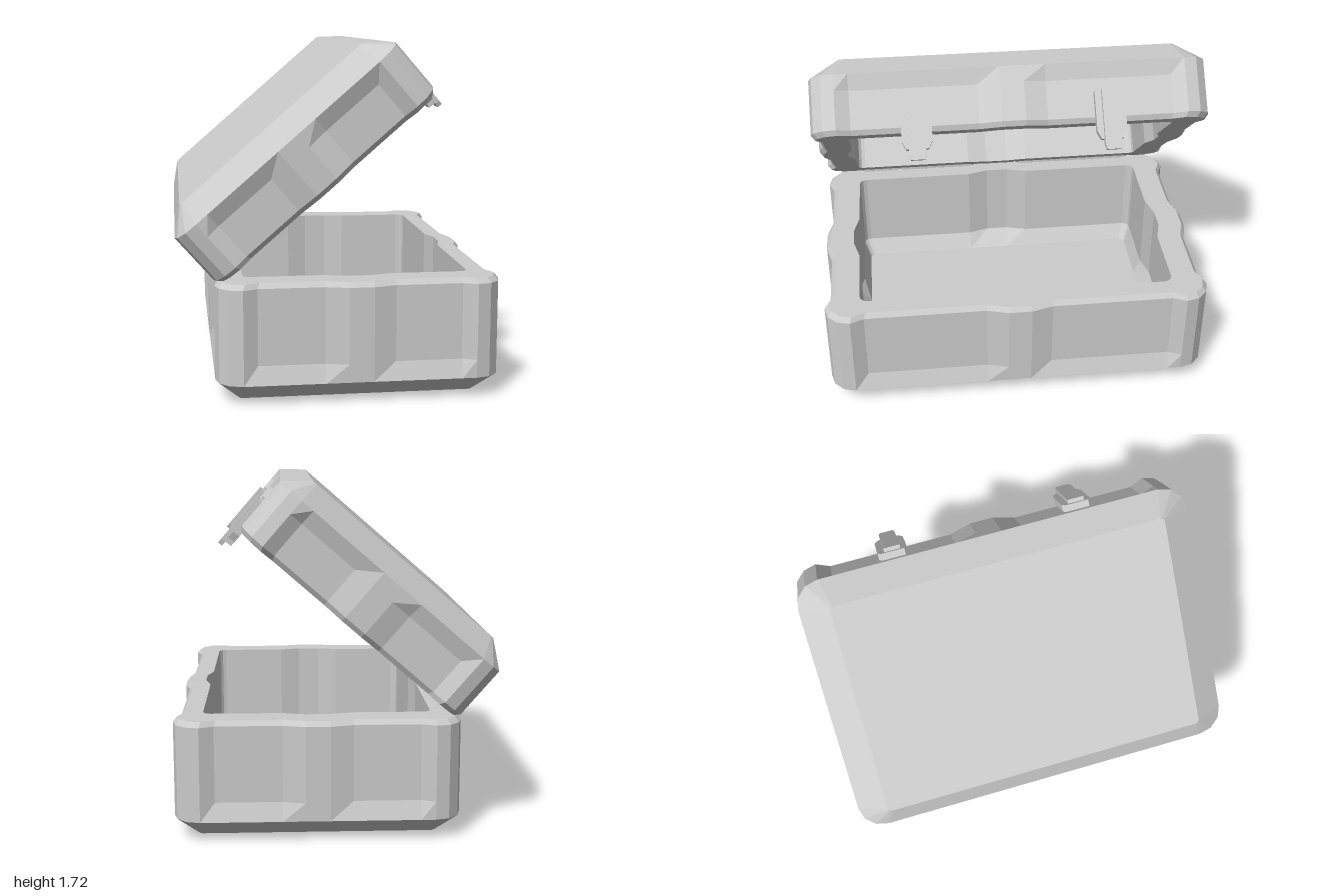
import * as THREE from 'three';

const material = new THREE.MeshStandardMaterial({ color: 0xcccccc, flatShading: true });

function addMesh(parent, name, geometry, x = 0, y = 0, z = 0) {
  const mesh = new THREE.Mesh(geometry, material);
  mesh.name = name;
  mesh.position.set(x, y, z);
  parent.add(mesh);
  return mesh;
}

// Rectangular cross-section: bevelled corners, sunken panels and a rib mid-side
function ring({ y, hx, hz, corner, sink = 0, rib = 0 }) {
  const points = [];
  for (let k = 0; k < 4; k++) {
    const a = (k * Math.PI) / 2;
    const [D, L] = k % 2 ? [hz, hx] : [hx, hz];
    const put = (out, along) => points.push(new THREE.Vector3(
      Math.cos(a) * out - Math.sin(a) * along, y, -Math.sin(a) * out - Math.cos(a) * along));
    const e = L - corner;
    const along = [-e, -e + 0.07, -0.17, -0.06, 0.06, 0.17, e - 0.07, e];
    const offset = [0, -sink, -sink, rib, rib, -sink, -sink, 0];
    along.forEach((s, i) => put(D + offset[i], s));
    for (const t of [Math.PI / 6, Math.PI / 3]) {
      put(D - corner + corner * Math.cos(t), e + corner * Math.sin(t));
    }
  }
  return points;
}

// Skin the sections from outer base, over the rim, down to the inner floor
function shell(sections) {
  const rings = sections.map(ring);
  const n = rings[0].length;
  const pos = [];
  const tri = (...p) => p.forEach((v) => pos.push(v.x, v.y, v.z));
  const first = rings[0], last = rings[rings.length - 1];
  const bottom = new THREE.Vector3(0, first[0].y, 0);
  const floor = new THREE.Vector3(0, last[0].y, 0);
  for (let i = 0; i < n; i++) {
    const j = (i + 1) % n;
    for (let k = 0; k < rings.length - 1; k++) {
      const p = rings[k], q = rings[k + 1];
      tri(p[i], p[j], q[j]);
      tri(p[i], q[j], q[i]);
    }
    tri(bottom, first[j], first[i]);
    tri(floor, last[i], last[j]);
  }
  const geometry = new THREE.BufferGeometry();
  geometry.setAttribute('position', new THREE.Float32BufferAttribute(pos, 3));
  geometry.computeVertexNormals();
  return geometry;
}

// Section list shared by the tub and the lid; y0 is the closed end, y1 the rim
function boxSections(y0, y1, chamfer, chamferInset, panelEdge, wall) {
  const outer = { hx: 0.695, hz: 1, corner: 0.13 };
  const inner = { hx: 0.555, hz: 0.82, corner: 0.04, rib: 0.03 };
  return [
    { y: y0, hx: 0.695 - chamferInset, hz: 0.85, corner: 0.02 },
    { ...outer, y: y0 + chamfer },
    { ...outer, y: panelEdge, sink: 0.03 },
    { ...outer, y: y1 - 0.025, sink: 0.03 },
    { y: y1, hx: 0.675, hz: 0.98, corner: 0.12, sink: 0.03 },
    { ...inner, y: y1 },
    { ...inner, y: y0 + wall + 0.08 },
    { y: y0 + wall, hx: 0.5, hz: 0.785, corner: 0.03 },
  ];
}

function extruded(points, depth) {
  const shape = new THREE.Shape(points.map(([x, y]) => new THREE.Vector2(x, y)));
  return new THREE.ExtrudeGeometry(shape, { depth, bevelEnabled: false }).rotateY(Math.PI / 2);
}

export function createModel() {
  const model = new THREE.Group();
  model.name = 'openCase';

  // Tub
  addMesh(model, 'tub', shell(boxSections(0, 0.595, 0.105, 0.115, 0.195, 0.08)), 0.085, 0, 0);

  // Lid, swung open about its back edge
  const lid = new THREE.Group();
  lid.name = 'lid';
  lid.position.set(-0.595, 0.578, 0);
  lid.rotation.z = THREE.MathUtils.degToRad(41);
  model.add(lid);
  const cover = addMesh(lid, 'lidShell', shell(boxSections(-0.4, 0, 0.1, 0.12, -0.22, 0.08)), 0.695, 0, 0);
  cover.rotation.x = Math.PI;

  // Latches on the lid front
  const plate = [[-0.055, -0.09], [0.055, -0.09], [0.075, -0.05], [0.075, 0.15],
    [0.06, 0.17], [-0.06, 0.17], [-0.075, 0.15], [-0.075, -0.05]];
  const strip = [[-0.035, -0.145], [0.035, -0.145], [0.042, -0.12], [0.042, 0.155],
    [-0.042, 0.155], [-0.042, -0.12]];
  for (const z of [-0.48, 0.48]) {
    const latch = new THREE.Group();
    latch.name = 'latch';
    latch.position.set(1.355, 0, z);
    lid.add(latch);
    addMesh(latch, 'latchPlate', extruded(plate, 0.04));
    addMesh(latch, 'latchStrip', extruded(strip, 0.025), 0.035, 0, 0);
    addMesh(latch, 'latchHook', new THREE.BoxGeometry(0.045, 0.035, 0.075), 0.022, -0.1, 0);
  }

  // Hinges: three knuckles on a pin along the back edge
  for (const z of [-0.47, 0.47]) {
    const hinge = new THREE.Group();
    hinge.name = 'hinge';
    hinge.position.set(-0.612, 0.587, z);
    model.add(hinge);
    for (const i of [-1, 0, 1]) {
      addMesh(hinge, 'hingeKnuckle',
        new THREE.CylinderGeometry(0.028, 0.028, 0.21, 10).rotateX(Math.PI / 2), 0, 0, i * 0.22);
    }
    addMesh(hinge, 'hingePin', new THREE.CylinderGeometry(0.018, 0.018, 0.68, 8).rotateX(Math.PI / 2));
  }
  return model;
}
